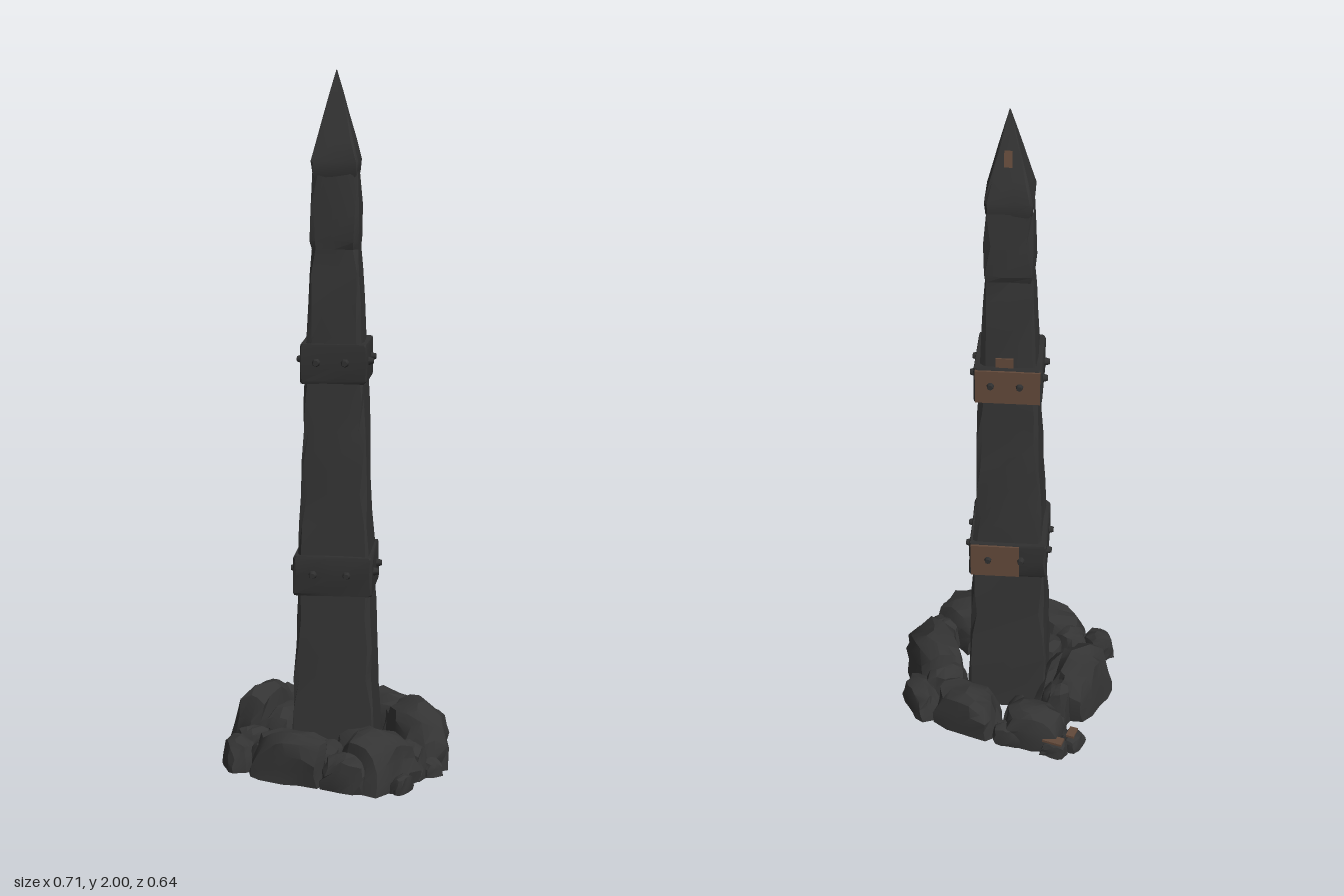
import * as THREE from 'three';
import { mergeVertices, toCreasedNormals } from 'three/addons/utils/BufferGeometryUtils.js';

// Small seeded generator, returns -1..1
function seeded(seed) {
  let s = seed * 7919 + 17;
  return () => {
    s = (s * 16807) % 2147483647;
    return (s / 2147483647) * 2 - 1;
  };
}

// Square, chamfered column lofted through rows of [y, halfWidth]
function squareLoft(rows, chamfer, rough, seed) {
  const rnd = seeded(seed), pos = [], idx = [], n = 12;
  rnd(); rnd();
  for (const [y, h] of rows) {
    const k = Math.min(1, h / 0.05);
    for (let side = 0; side < 4; side++) {
      const c = h < 0.01 ? 0 : chamfer * k * (1 + rnd() * 0.7);
      for (const t of [-(h - c), rnd() * h * 0.3, h - c]) {
        let x = h + rnd() * rough * k, z = t;
        for (let r = 0; r < side; r++) [x, z] = [-z, x];
        pos.push(x, y + rnd() * rough * k, z);
      }
    }
  }
  for (let r = 0; r < rows.length - 1; r++) {
    for (let i = 0; i < n; i++) {
      const a = r * n + i, b = r * n + (i + 1) % n;
      idx.push(a, a + n, b, b, a + n, b + n);
    }
  }
  const g = new THREE.BufferGeometry();
  g.setAttribute('position', new THREE.Float32BufferAttribute(pos, 3));
  g.setIndex(idx);
  return toCreasedNormals(g, 0.4);
}

// Chipped boulder with a flat underside on y = 0
function rockGeometry(w, h, d, seed) {
  const rnd = seeded(seed);
  rnd(); rnd();
  let g = new THREE.BoxGeometry(1, 1, 1, 4, 3, 4);
  g.deleteAttribute('normal');
  g.deleteAttribute('uv');
  g = mergeVertices(g);
  const p = g.attributes.position, lean = rnd() * 0.1;
  for (let i = 0; i < p.count; i++) {
    const x = p.getX(i), y = p.getY(i), z = p.getZ(i), up = y + 0.5;
    const taper = 1.02 - 0.22 * up * up;
    const nx = x * taper * (1 - 0.5 * z * z) + lean * up + rnd() * 0.05;
    const nz = z * taper * (1 - 0.5 * x * x) + rnd() * 0.05;
    const ny = up * (1 - 0.6 * (x * x + z * z)) + rnd() * 0.05 + lean * x * up * 2;
    p.setXYZ(i, nx * w, y < -0.49 ? 0 : Math.max(0.01, ny) * h, nz * d);
  }
  return toCreasedNormals(g, 0.5);
}

export function createModel() {
  const model = new THREE.Group();
  model.name = 'ruinedObelisk';
  const stone = new THREE.MeshStandardMaterial({ color: 0x343434 });
  stone.name = 'dark stone';
  const iron = new THREE.MeshStandardMaterial({ color: 0x303030 });
  iron.name = 'blackened iron';
  const rust = new THREE.MeshStandardMaterial({ color: 0x62493a });
  rust.name = 'rust';

  const add = (parent, name, geometry, material, x = 0, y = 0, z = 0) => {
    const m = new THREE.Mesh(geometry, material);
    m.name = name;
    m.position.set(x, y, z);
    parent.add(m);
    return m;
  };

  // The obelisk stands turned on its rubble
  const obelisk = new THREE.Group();
  obelisk.name = 'obelisk';
  obelisk.rotation.y = 0.55;
  obelisk.position.x = 0.003;
  model.add(obelisk);

  // Tapering shaft with chipped edges and a worn joint
  const half = (y) => 0.122 - 0.0346 * y;
  const rows = [[0, 0.002], [0, half(0)]];
  for (let y = 0.09; y < 1.7; y += 0.09) rows.push([y, half(y)]);
  rows.push([1.505, half(1.505) - 0.004], [1.72, half(1.72)]);
  rows.sort((a, b) => a[0] - b[0]);
  add(obelisk, 'shaft', squareLoft(rows, 0.011, 0.0035, 5), stone);

  // Pointed cap with a slight overhang
  const capRows = [[1.69, 0.054], [1.715, 0.062], [1.75, 0.066], [1.81, 0.051],
    [1.88, 0.033], [1.94, 0.017], [2, 0.0008]];
  add(obelisk, 'cap', squareLoft(capRows, 0.005, 0.0015, 9), stone);
  const patch = add(obelisk, 'capRustPatch', new THREE.BoxGeometry(0.022, 0.045, 0.006), rust, 0.002, 1.87, -0.034);
  patch.rotation.x = 0.25;

  // Riveted bands; the back face is rusted
  const bands = [
    { name: 'lowerBand', y: 0.572, h: 0.114, t: 0.116, x0: -0.035, x1: 0.108 },
    { name: 'upperBand', y: 1.185, h: 0.096, t: 0.112, x0: -0.091, x1: 0.091 },
  ];
  bands.forEach(({ name, y, h, t, x0, x1 }, b) => {
    const group = new THREE.Group();
    group.name = name;
    group.position.y = y;
    obelisk.add(group);
    const inner = h - 0.03;
    const profile = [[-t / 2, inner], [-t / 2, h - 0.003], [-t / 2 + 0.008, h], [0, h],
      [t / 2 - 0.008, h], [t / 2, h - 0.003], [t / 2, inner]];
    add(group, name + 'Ring', squareLoft(profile, 0.006, 0.0015, 21 + b), iron);
    add(group, name + 'Rust', new THREE.BoxGeometry(x1 - x0, t - 0.006, 0.008), rust, (x0 + x1) / 2, 0, -h);
    for (let side = 0; side < 4; side++) {
      const face = new THREE.Group();
      face.name = name + 'Rivets';
      face.rotation.y = side * Math.PI / 2;
      group.add(face);
      for (const s of [-0.5, 0.35]) {
        const rivet = add(face, 'rivet', new THREE.CylinderGeometry(0.008, 0.013, 0.016, 7), iron, s * h, 0.005, h + 0.006);
        rivet.rotation.x = Math.PI / 2;
      }
    }
  });
  add(obelisk, 'shaftRustPatch', new THREE.BoxGeometry(0.05, 0.03, 0.006), rust, 0.01, 1.255, -half(1.255));

  // Rubble ring: x, z, width, height, depth, turn
  const rocks = [
    [-0.01, -0.23, 0.20, 0.14, 0.13, 0.1],
    [0.14, -0.265, 0.13, 0.10, 0.09, -0.4],
    [0.215, -0.11, 0.26, 0.17, 0.16, -0.75],
    [-0.21, -0.17, 0.19, 0.13, 0.12, 0.4],
    [-0.235, 0.05, 0.13, 0.19, 0.21, 0.05],
    [-0.215, -0.07, 0.09, 0.15, 0.09, 0.5],
    [-0.18, 0.16, 0.10, 0.09, 0.10, 0.6],
    [0.01, 0.23, 0.25, 0.14, 0.13, 0.2],
    [-0.15, 0.26, 0.10, 0.09, 0.09, -0.5],
    [0.235, 0.11, 0.18, 0.15, 0.20, -0.15],
    [0.19, 0.2, 0.14, 0.10, 0.10, 0.3],
    [0.33, 0.13, 0.05, 0.05, 0.07, 0],
    [0.325, -0.03, 0.055, 0.05, 0.06, -0.5],
    [0.27, 0.01, 0.11, 0.10, 0.10, 0.3],
    [0.15, 0.1, 0.15, 0.14, 0.11, 0.5],
    [-0.15, 0.03, 0.11, 0.13, 0.19, 0.3],
    [0.11, 0.18, 0.09, 0.12, 0.11, 0.2],
    [0.12, -0.17, 0.13, 0.13, 0.13, 0.6],
    [-0.12, -0.15, 0.06, 0.09, 0.09, 0.3],
    [-0.05, 0.13, 0.09, 0.10, 0.10, 0.5],
    [-0.16, -0.225, 0.10, 0.07, 0.06, 0.4],
    [-0.09, 0.22, 0.10, 0.10, 0.09, 0.2],
    [-0.295, -0.185, 0.08, 0.05, 0.06, 0.3],
    [-0.325, -0.13, 0.06, 0.05, 0.07, 0],
  ];
  rocks.forEach(([x, z, w, h, d, turn], i) => {
    const rock = add(model, 'rubble', rockGeometry(w, h, d, 31 + i * 13), stone, x, 0, z);
    rock.rotation.y = turn;
  });

  // Rusty scraps among the rubble
  for (const [x, z, w, d] of [[-0.295, -0.19, 0.06, 0.03], [-0.322, -0.13, 0.025, 0.04]]) {
    const scrap = add(model, 'rustScrap', new THREE.BoxGeometry(w, 0.008, d), rust, x, 0.05, z);
    scrap.rotation.y = 0.25;
  }
  return model;
}
